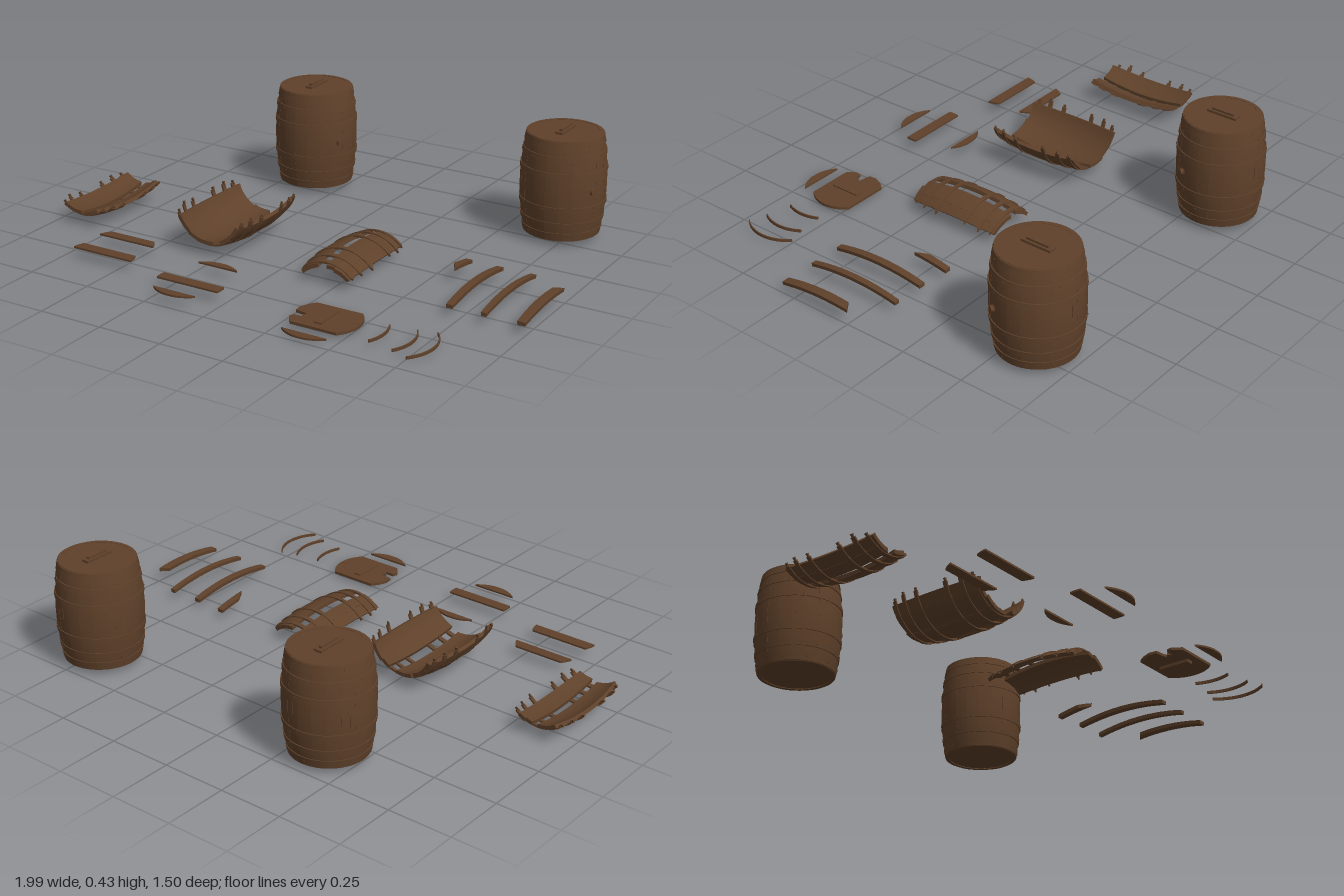
import * as THREE from 'three';

const wood = new THREE.MeshStandardMaterial({ color: 0x5f412a });
wood.name = 'brownWood';

const LEN = 0.39;
const DEG = Math.PI / 180;
const bulge = (t) => 0.142 + 0.021 * (1 - (2 * t - 1) ** 2);
const HOOPS = [0.17, 0.33, 0.67, 0.83];

function add(parent, name, geo, x = 0, y = 0, z = 0) {
  const m = new THREE.Mesh(geo, wood);
  m.name = name;
  m.position.set(x, y, z);
  parent.add(m);
  return m;
}

// A box bent onto the barrel wall: angles in degrees, t along the axis,
// r0/r1 offsets from the wall, skews slant the two ends
function bent(a0, a1, t0, t1, r0, r1, skew0 = 0, skew1 = 0) {
  const na = Math.max(2, Math.ceil((a1 - a0) / 7));
  const nt = Math.max(1, Math.ceil((t1 - t0) * 12));
  const g = new THREE.BoxGeometry(1, 1, 1, na, nt, 1);
  const p = g.attributes.position;
  for (let i = 0; i < p.count; i++) {
    const u = p.getX(i) + 0.5, v = p.getY(i) + 0.5, w = p.getZ(i) + 0.5;
    const a = (a0 + (a1 - a0) * u) * DEG;
    const t = t0 + (t1 - t0) * v + (u - 0.5) * (skew0 * (1 - v) + skew1 * v);
    const r = bulge(t) + r0 + (r1 - r0) * w;
    p.setXYZ(i, r * Math.sin(a), t * LEN, r * Math.cos(a));
  }
  g.computeVertexNormals();
  return g;
}

// Flat plate from [x, z] points
function plate(points, thick) {
  const shape = new THREE.Shape(points.map(([x, z]) => new THREE.Vector2(x, -z)));
  const g = new THREE.ExtrudeGeometry(shape, { depth: thick, bevelEnabled: false });
  return g.rotateX(-Math.PI / 2);
}

// Slice of a round lid between z0 and z1, with an optional ragged left edge
function lidSlice(r, z0, z1, ragged = []) {
  const right = [], left = [];
  for (let i = 0; i <= 12; i++) {
    const z = z0 + (z1 - z0) * i / 12;
    const x = Math.sqrt(Math.max(0, r * r - z * z));
    right.push([x, z]);
    left.unshift([-x, z]);
  }
  return [...right, ...(ragged.length ? [left[0], ...ragged, left[12]] : left)];
}

function wholeBarrel(x, z) {
  const b = new THREE.Group();
  b.name = 'wholeBarrel';
  b.position.set(x, 0.022, z);
  // Staves
  const n = 20, step = 360 / n;
  for (let i = 0; i < n; i++) {
    const lift = ((i * 7) % 3) * 0.0005;
    add(b, 'stave', bent(i * step, (i + 1) * step, 0, 1, -0.014, lift - 0.001));
  }
  // Hoops: wide end bands and four middle bands
  for (const t of [0.045, ...HOOPS, 0.955]) {
    const h = t < 0.1 || t > 0.9 ? 0.04 : 0.024;
    add(b, 'hoop', bent(0, 360, t - h, t + h, -0.002, 0.003));
    for (let i = 0; i < 10; i++) {
      const a = i * 36 + t * 100;
      add(b, 'rivet', bent(a, a + 1.4, t - 0.006, t + 0.006, 0, 0.0045));
    }
  }
  // Raised splits in the staves
  [[20, 0.5], [95, 0.42], [170, 0.55], [245, 0.45], [310, 0.53]].forEach(([a, t]) =>
    add(b, 'split', bent(a, a + 0.8, t - 0.06, t + 0.06, -0.001, 0.001)));
  // Lid, base and grip
  add(b, 'lid', new THREE.CylinderGeometry(0.131, 0.131, 0.012, 40), 0, LEN - 0.007, 0);
  add(b, 'base', new THREE.CylinderGeometry(0.131, 0.131, 0.012, 40), 0, 0.009, 0);
  add(b, 'gripBase', new THREE.BoxGeometry(0.03, 0.011, 0.12), 0, LEN + 0.0025, 0);
  add(b, 'gripRidge', new THREE.BoxGeometry(0.012, 0.009, 0.09), 0, LEN + 0.0115, 0);
  // Side bung
  const a = 65 * DEG, sx = Math.sin(a), sz = Math.cos(a);
  const bung = add(b, 'bung', new THREE.CylinderGeometry(0.011, 0.013, 0.016, 12), 0.166 * sx, 0.195, 0.166 * sz);
  bung.rotation.set(Math.PI / 2, a, 0, 'YXZ');
  const ring = add(b, 'bungRim', new THREE.TorusGeometry(0.013, 0.002, 6, 16), 0.165 * sx, 0.195, 0.165 * sz);
  ring.rotation.y = a;
  return b;
}

// Broken wall section lying along z: runs of staves held by torn hoops
function brokenShell(name, x, axisY, archUp, runs, reach) {
  const g = new THREE.Group();
  g.name = name;
  g.position.set(x, axisY, archUp ? 0.307 : -0.085);
  g.rotation.x = (archUp ? -1 : 1) * Math.PI / 2;
  let k = 0;
  for (const [a0, a1] of runs) {
    const n = Math.max(1, Math.round((a1 - a0) / 15)), s = (a1 - a0) / n;
    for (let i = 0; i < n; i++, k++) {
      const cut = (k % 3) * 0.006;
      add(g, 'brokenStave', bent(a0 + i * s, a0 + (i + 1) * s, cut, 1 - ((k + 1) % 3) * 0.006,
        -0.014, (k % 2) * 0.001, 0.008, -0.008));
    }
  }
  // Hoops torn off at uneven lengths, each end tapering to a splinter
  [0.05, ...HOOPS, 0.95].forEach((t, i) => {
    const r = reach - (i === 0 || i === 5 ? 5 : 0);
    const a0 = -r + (i * 5) % 4, a1 = r - (i * 3) % 5;
    add(g, 'tornHoop', bent(a0, a1, t - 0.02, t + 0.02, -0.003, 0.004));
    add(g, 'splinter', bent(a0 - 4, a0 + 3, t - 0.01, t + 0.004, -0.006, 0.002, 0.01, -0.008));
    add(g, 'splinter', bent(a1 - 3, a1 + 4, t - 0.006, t + 0.008, -0.006, 0.002, 0.01, -0.008));
  });
  return g;
}

function looseStave(x, width, t0, t1, skew0 = 0, skew1 = 0) {
  const h = width / 2 / 0.163 / DEG;
  const g = new THREE.Group();
  g.name = 'looseStave';
  g.position.set(x, -0.098, 0.307);
  g.rotation.x = -Math.PI / 2;
  add(g, 'staveBoard', bent(-h, h, t0, t1, -0.014, 0, skew0, skew1));
  return g;
}

export function createModel() {
  const model = new THREE.Group();
  model.name = 'barrelsAndDebris';

  model.add(wholeBarrel(-0.375, -0.592), wholeBarrel(0.713, -0.592));

  model.add(
    brokenShell('smallCupShell', -0.875, 0.19, false, [[-36, -2], [8, 32]], 44),
    brokenShell('largeCupShell', -0.29, 0.19, false, [[-68, 9], [24, 67]], 78),
    brokenShell('archShell', 0.215, -0.062, true, [[-44, -13], [2, 43]], 47),
  );

  model.add(
    looseStave(0.582, 0.03, 0.72, 1.02, -0.12, 0),
    looseStave(0.71, 0.03, 0, 1),
    looseStave(0.84, 0.025, 0, 1),
    looseStave(0.98, 0.036, 0, 0.75, 0, 0.06),
  );

  // Loose lid boards: centre x, circle centre z, slice from, slice to, height
  const boards = [
    [-0.58, 0.458, -0.085, -0.045, 0.037], [-0.577, 0.573, -0.055, -0.01, 0.037],
    [-0.15, 0.543, -0.129, -0.1, 0.037], [-0.153, 0.608, -0.022, 0.022, 0.037],
    [-0.155, 0.607, 0.095, 0.129, 0.037], [0.38, 0.617, 0.095, 0.129, 0.011],
  ];
  for (const [x, z, z0, z1, y] of boards) add(model, 'lidBoard', plate(lidSlice(0.13, z0, z1), 0.007), x, y, z);

  // Broken lid with a bite out of its left edge
  const lid = new THREE.Group();
  lid.name = 'brokenLid';
  lid.position.set(0.383, 0, 0.572);
  model.add(lid);
  const bite = [[-0.115, 0.055], [-0.108, 0.035], [-0.075, 0.036], [-0.085, 0.02], [-0.07, 0.008],
    [-0.09, 0.004], [-0.122, 0.0], [-0.125, -0.03], [-0.11, -0.065]];
  add(lid, 'lidPanel', plate(lidSlice(0.128, -0.09, 0.09, bite), 0.01), 0, 0.011, 0);
  add(lid, 'lidBrace', new THREE.BoxGeometry(0.03, 0.011, 0.12), 0, 0.0055, 0);
  add(lid, 'lidGrip', new THREE.BoxGeometry(0.03, 0.006, 0.12), 0, 0.023, 0);
  add(lid, 'lidSplit', new THREE.BoxGeometry(0.03, 0.001, 0.003), 0.11, 0.021, -0.005);

  // Loose hoop fragments lying flat
  for (const [x, half, z] of [[0.617, 0.07, 0.59], [0.727, 0.087, 0.595], [0.81, 0.108, 0.598]]) {
    const r = 0.16, a = Math.asin(half / r), pts = [];
    for (let i = 0; i <= 12; i++) {
      const t = -a + 2 * a * i / 12;
      pts.push([r * Math.cos(t) - r, r * Math.sin(t)]);
    }
    for (let i = 12; i >= 0; i--) pts.push([pts[i][0] - 0.005, pts[i][1]]);
    add(model, 'hoopFragment', plate(pts, 0.011), x, 0.015, z);
  }
  return model;
}
